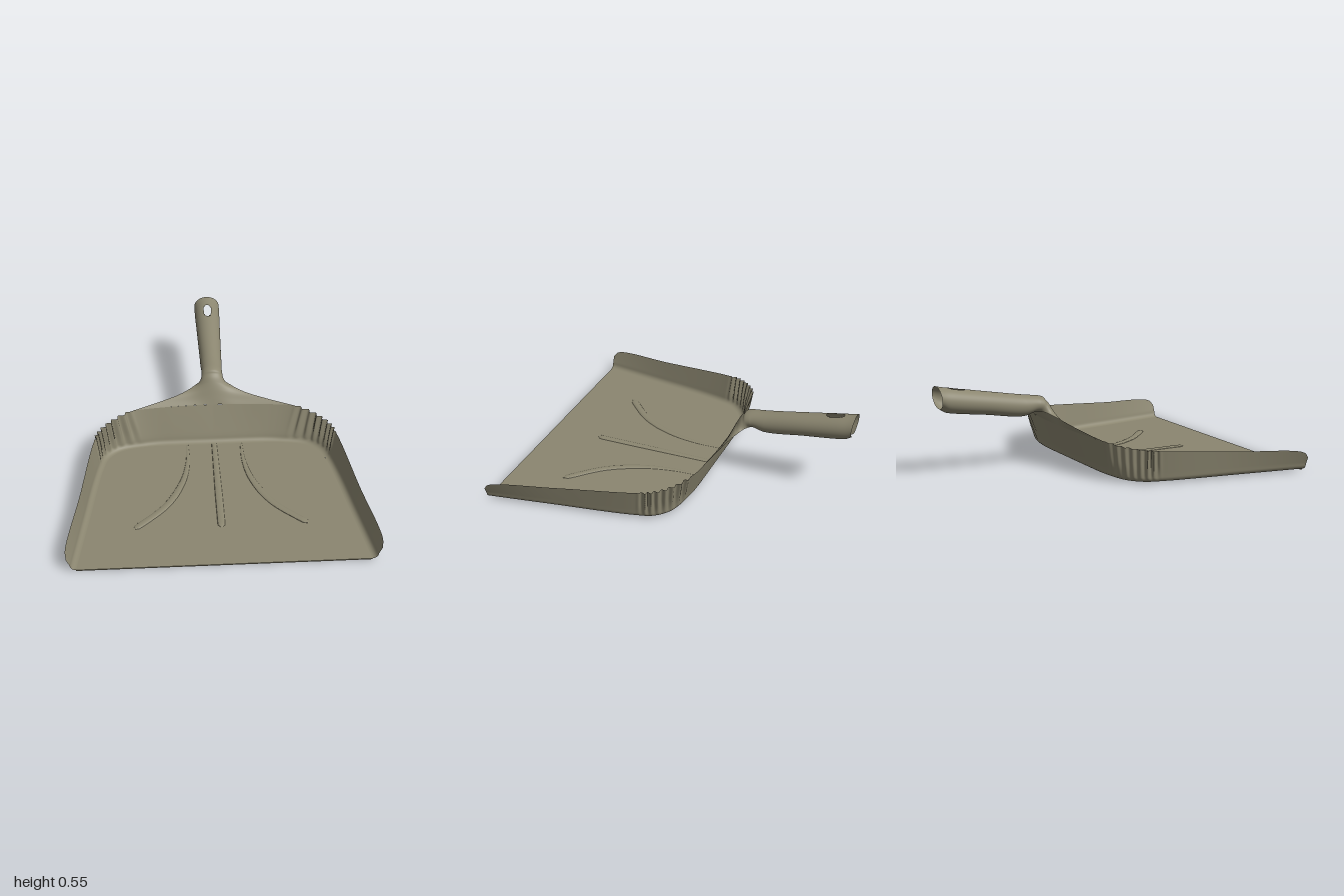
import * as THREE from 'three';

const V = (x, y, z) => new THREE.Vector3(x, y, z);
const lerp = THREE.MathUtils.lerp;
const FLOOR = 0.007;

// Smooth grid surface from point(u, v), u and v in 0..1; skip(p) leaves openings
function sheet(nu, nv, point, skip = () => false) {
  const pos = [], index = [], pts = [];
  for (let i = 0; i <= nu; i++) for (let j = 0; j <= nv; j++) {
    const p = point(i / nu, j / nv);
    pts.push(p);
    pos.push(p.x, p.y, p.z);
  }
  for (let i = 0; i < nu; i++) for (let j = 0; j < nv; j++) {
    const a = i * (nv + 1) + j, b = a + nv + 1;
    const mid = pts[a].clone().add(pts[b + 1]).multiplyScalar(0.5);
    if (!skip(mid)) index.push(a, b, a + 1, b, b + 1, a + 1);
  }
  const g = new THREE.BufferGeometry();
  g.setAttribute('position', new THREE.Float32BufferAttribute(pos, 3));
  g.setIndex(index);
  g.computeVertexNormals();
  return g;
}

// Left half of the pan, front to back centre: edge of the floor and rim of the wall
const floorEdge = new THREE.CatmullRomCurve3([
  V(0.84, 0, 1), V(0.835, 0, 0.965), V(0.768, 0, 0.55), V(0.697, 0, 0.12), V(0.66, 0, 0.01),
  V(0.58, 0, -0.06), V(0.42, 0, -0.096), V(0.25, 0, -0.1), V(0, 0, -0.1)]);
const rim = new THREE.CatmullRomCurve3([
  V(0.893, 0.085, 1), V(0.897, 0.12, 0.965), V(0.825, 0.158, 0.55), V(0.747, 0.197, 0.08), V(0.712, 0.206, -0.02),
  V(0.63, 0.218, -0.11), V(0.5, 0.235, -0.18), V(0.25, 0.235, -0.206), V(0, 0.235, -0.215)]);

// Wall section: rounded foot, then a straight side, with flutes in the corners
function wallPoint(u, v) {
  const t = 1 - Math.abs(2 * u - 1), side = u > 0.5 ? -1 : 1;
  const p = floorEdge.getPoint(t), r = rim.getPoint(t);
  const out = V(r.x - p.x, 0, r.z - p.z).normalize();
  const R = 0.034;
  const q = p.clone();
  if (v < 0.4) {
    const a = v / 0.4 * Math.PI / 2;
    q.addScaledVector(out, R * Math.sin(a));
    q.y = FLOOR + R * (1 - Math.cos(a));
  } else {
    q.addScaledVector(out, R).setY(FLOOR + R).lerp(r, (v - 0.4) / 0.6);
  }
  const c = (t * 8 - 3) / 3;
  if (c > 0 && c < 1) {
    const fade = Math.min(1, c * 8, (1 - c) * 8) * Math.min(1, Math.max(0, (v - 0.25) * 2.5));
    q.addScaledVector(out, 0.011 * fade * Math.sin(c * 16 * Math.PI));
  }
  q.x *= side;
  return q;
}

// Neck and handle sections: [half width, edge y, edge z, ridge y, ridge z, roundness]
const rows = [
  [0.5, 0.235, -0.18, 0.235, -0.215, 0],
  [0.35, 0.26, -0.22, 0.28, -0.235, 0],
  [0.2, 0.293, -0.262, 0.325, -0.255, 0],
  [0.125, 0.32, -0.3, 0.365, -0.275, 0.05],
  [0.09, 0.34, -0.34, 0.405, -0.305, 0.4],
  [0.07, 0.337, -0.38, 0.432, -0.345, 0.85],
  [0.068, 0.317, -0.45, 0.447, -0.45, 1],
  [0.074, 0.35, -0.7, 0.49, -0.7, 1],
  [0.08, 0.377, -0.9, 0.526, -0.9, 1],
  [0.081, 0.388, -0.95, 0.536, -0.96, 1],
  [0.081, 0.41, -0.985, 0.545, -1, 1]];
const edges = new THREE.CatmullRomCurve3(rows.map(r => V(r[0], r[1], r[2])));
const ridge = new THREE.CatmullRomCurve3(rows.map(r => V(r[5], r[3], r[4])));

function handlePoint(u, v) {
  const e = edges.getPoint(u), c = ridge.getPoint(u);
  const k = THREE.MathUtils.clamp(c.x, 0, 1), s = 2 * v - 1, w = e.x;
  const a = s * THREE.MathUtils.degToRad(169);
  const bell = x => Math.exp(-((x / 0.09) ** 2)), low = bell(w);
  const flat = (bell(w * s) - low) / (1 - low);
  const h = lerp(flat, (Math.cos(a) + 1) / 2, k);
  const hz = lerp(1 - s * s, (Math.cos(a) + 1) / 2, k);
  return V(w * lerp(s, Math.sin(a), k), lerp(e.y, c.y, h), lerp(e.z, c.z, hz));
}

// Hanging hole through the top of the handle
const inHole = p => p.y > 0.48 && (p.x / 0.026) ** 2 + ((p.z + 0.872) / 0.055) ** 2 < 1;

export function createModel() {
  const group = new THREE.Group();
  const plastic = new THREE.MeshStandardMaterial({ color: 0x8b8670, side: THREE.DoubleSide });
  plastic.name = 'olive grey plastic';
  const add = (name, geometry) => {
    const m = new THREE.Mesh(geometry, plastic);
    m.name = name;
    group.add(m);
    return m;
  };

  // Floor
  const outline = [];
  for (let i = 0; i <= 192; i++) {
    const p = wallPoint(i / 192, 0);
    outline.push(new THREE.Vector2(p.x, -p.z));
  }
  add('floor', new THREE.ShapeGeometry(new THREE.Shape(outline)).rotateX(-Math.PI / 2).translate(0, FLOOR, 0));

  // Front lip, giving the floor its small thickness
  const lip = add('frontLip', new THREE.BoxGeometry(1.68, FLOOR, 0.012));
  lip.position.set(0, FLOOR / 2, 0.994);

  // Walls, neck and handle
  add('wall', sheet(384, 16, wallPoint));
  add('handle', sheet(240, 96, handlePoint, inHole));

  // Floor ribs: flattened tubes that widen towards a round front end
  const rib = (name, points, start) => {
    const curve = new THREE.CatmullRomCurve3(points), n = 40;
    add(name, sheet(n, 12, (u, v) => {
      const p = curve.getPoint(u), d = curve.getTangent(u), a = v * Math.PI * 2;
      const tip = Math.sqrt(Math.max(0, 1 - Math.max(0, (u - 0.96) / 0.04) ** 2));
      const r = lerp(start, 0.022, Math.min(1, u * 1.6)) * tip;
      return V(p.x + d.z * r * Math.cos(a), FLOOR + 0.32 * r * Math.sin(a), p.z - d.x * r * Math.cos(a));
    }));
  };
  rib('centreRib', [V(0, 0, -0.1), V(0, 0, 0.3), V(0, 0, 0.69)], 0.016);
  for (const s of [1, -1]) {
    rib(s > 0 ? 'leftRib' : 'rightRib', [V(0.17 * s, 0, -0.1), V(0.175 * s, 0, 0.08),
      V(0.215 * s, 0, 0.27), V(0.32 * s, 0, 0.48), V(0.515 * s, 0, 0.68)], 0.006);
  }
  return group;
}
